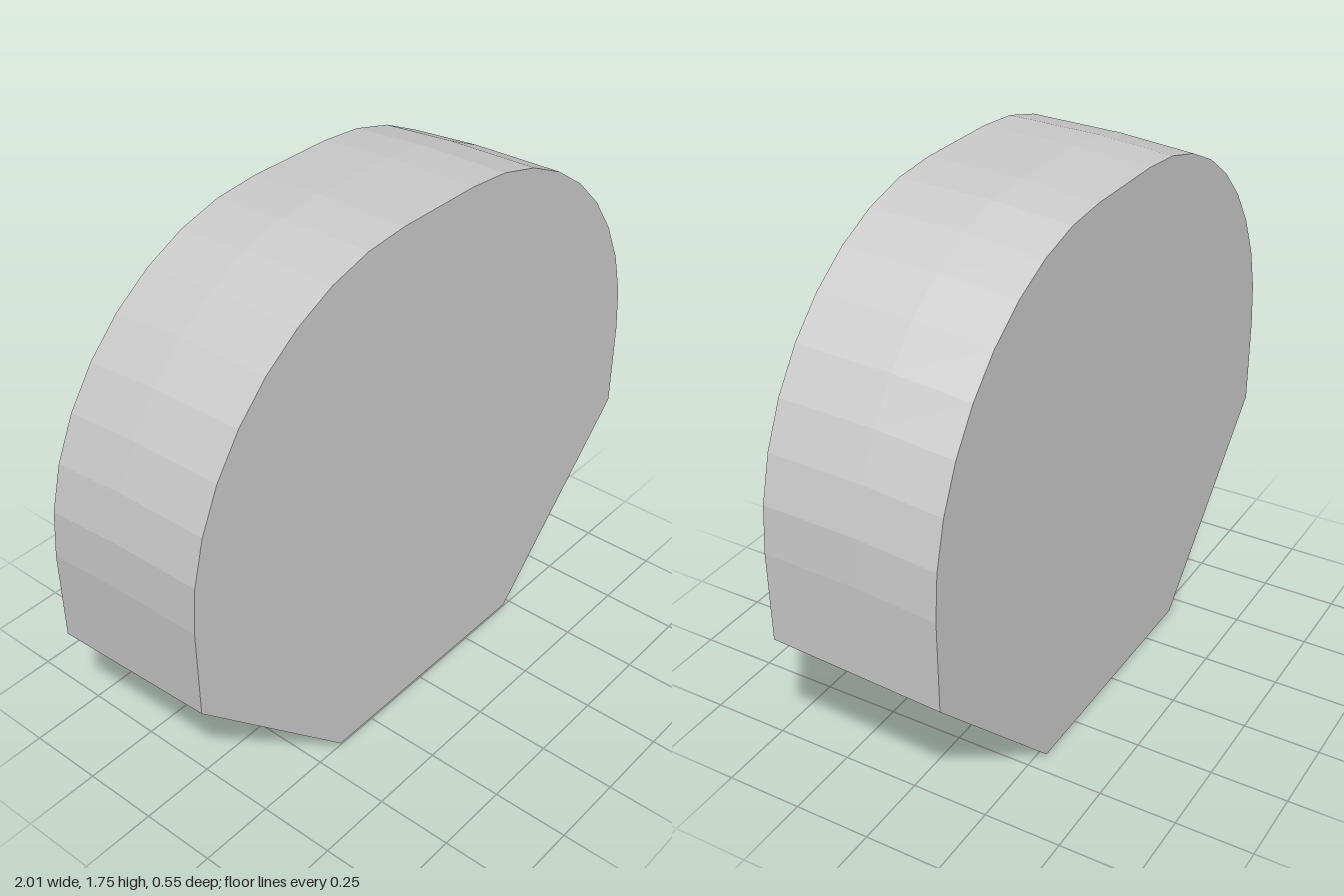
import * as THREE from 'three';

// Outline of one cross-section, counter-clockwise seen from the front.
// drops: how far the base, the shoulders and the arched top sink.
function section(z, [base, side, top]) {
  const half = [[0.43, 0.045 - base], [1, 0.61 - side]];
  const r = 0.853;
  for (let i = 0; i <= 9; i++) {
    const a = THREE.MathUtils.degToRad(i * 10);
    half.push([0.15 + r * Math.cos(a), 0.9 + r * Math.sin(a) - top]);
  }
  const mirrored = half.map(([x, y]) => [-x, y]).reverse();
  return half.concat(mirrored).map(([x, y]) => [x, y, z]);
}

export function createModel() {
  const group = new THREE.Group();
  const rings = [
    section(0.275, [0, 0, 0]),
    section(-0.03, [0.025, 0.017, 0.007]),
    section(-0.275, [0.045, 0.031, 0.028]),
  ];
  const n = rings[0].length;
  const positions = [];
  const tri = (a, b, c) => positions.push(...a, ...b, ...c);

  // Rim: bands between neighbouring sections
  for (let k = 0; k < rings.length - 1; k++) {
    const f = rings[k], b = rings[k + 1];
    for (let i = 0; i < n; i++) {
      const j = (i + 1) % n;
      tri(f[i], b[i], b[j]);
      tri(f[i], b[j], f[j]);
    }
  }
  // Flat front and back faces
  const front = rings[0], back = rings[rings.length - 1];
  for (let i = 1; i < n - 1; i++) {
    tri(front[0], front[i], front[i + 1]);
    tri(back[0], back[i + 1], back[i]);
  }

  const geometry = new THREE.BufferGeometry();
  geometry.setAttribute('position', new THREE.Float32BufferAttribute(positions, 3));
  geometry.computeVertexNormals();
  const body = new THREE.Mesh(
    geometry,
    new THREE.MeshStandardMaterial({ color: 0xcccccc, flatShading: true })
  );
  body.name = 'archedBlock';
  group.add(body);
  return group;
}
